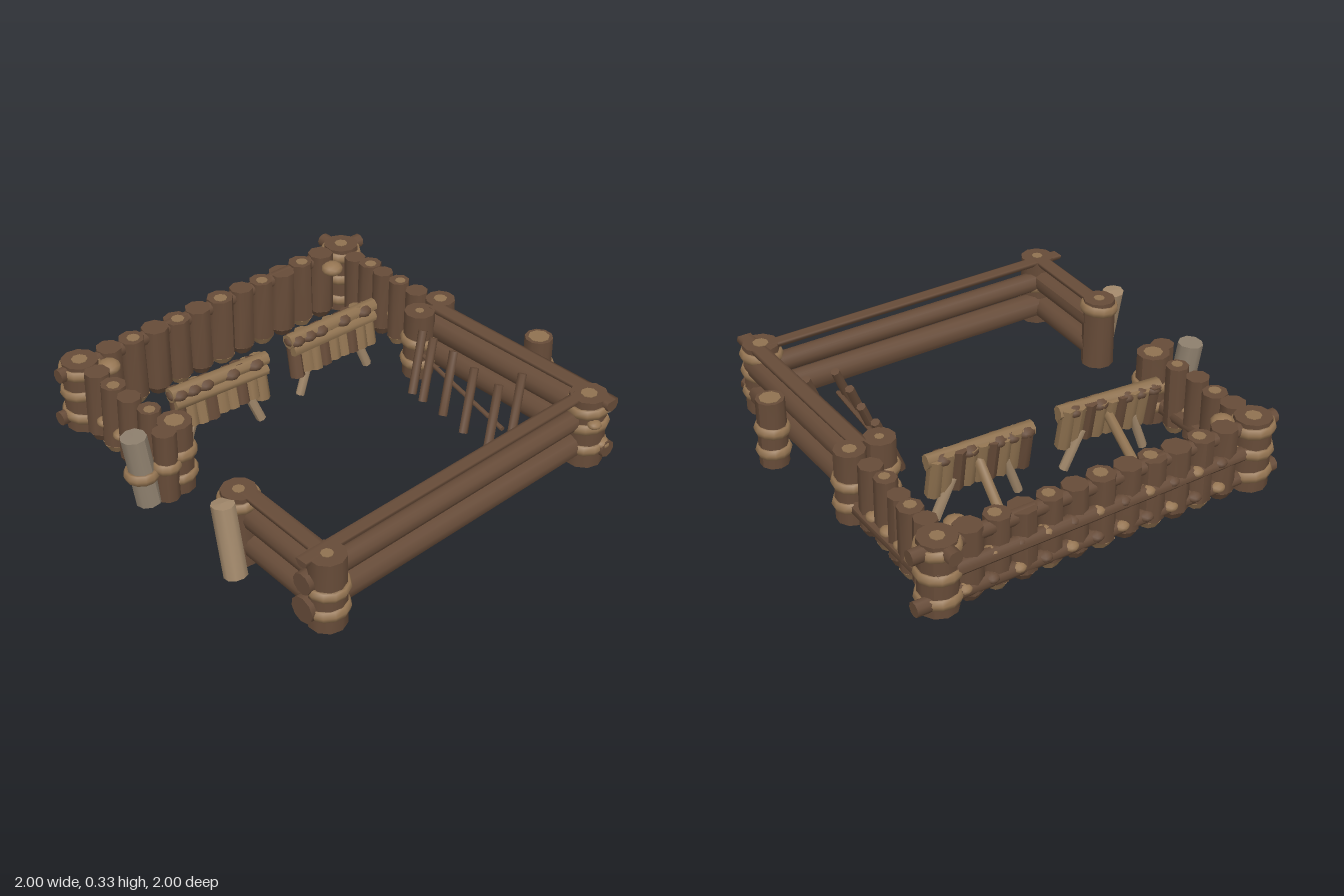
import * as THREE from 'three';

const TOP = 0.34; // every timber is sawn off level at this height

export function createModel() {
  const root = new THREE.Group();
  const mat = (name, color) => {
    const m = new THREE.MeshStandardMaterial({ color });
    m.name = name;
    return m;
  };
  const bark = mat('bark', 0x664b38);
  const rope = mat('rope', 0x957552);
  const cutWood = mat('cut wood', 0x8f7250);
  const paleWood = mat('pale wood', 0xa0876a);
  const greyWood = mat('weathered wood', 0x8d7f6d);

  let seed = 7;
  const rand = () => (seed = (seed * 16807) % 2147483647) / 2147483647;
  const V = (x, y, z) => new THREE.Vector3(x, y, z);
  const UP = V(0, 1, 0);

  const add = (parent, name, geo, material) => {
    const mesh = new THREE.Mesh(geo, material);
    mesh.name = name;
    parent.add(mesh);
  };
  const group = (name) => {
    const g = new THREE.Group();
    g.name = name;
    root.add(g);
    return g;
  };

  // Log between two points, flattened where it passes the level top
  function log(parent, name, a, b, r, material = bark, r2 = r, sides = 9) {
    const dir = b.clone().sub(a);
    const geo = new THREE.CylinderGeometry(r2, r, dir.length(), sides);
    geo.rotateY(rand() * 3);
    geo.applyQuaternion(new THREE.Quaternion().setFromUnitVectors(UP, dir.clone().normalize()));
    const mid = a.clone().add(b).multiplyScalar(0.5);
    geo.translate(mid.x, mid.y, mid.z);
    const p = geo.attributes.position;
    for (let i = 0; i < p.count; i++) p.setY(i, Math.min(TOP, Math.max(0.01, p.getY(i))));
    geo.computeVertexNormals();
    add(parent, name, geo, material);
  }

  // Broad, slightly tilted rope binding round an upright
  function ring(parent, x, y, z, r) {
    const geo = new THREE.TorusGeometry(r - 0.002, 0.016, 6, 12);
    geo.scale(1, 1, 1.6);
    geo.rotateX(Math.PI / 2 + (rand() - 0.5) * 0.2);
    geo.rotateZ((rand() - 0.5) * 0.2);
    geo.translate(x, y, z);
    add(parent, 'ropeRing', geo, rope);
  }

  function knot(parent, x, y, z, s, material = rope) {
    const geo = new THREE.IcosahedronGeometry(s, 1);
    geo.scale(1, 0.65, 1);
    geo.translate(x, y, z);
    add(parent, 'ropeKnot', geo, material);
  }

  // Thin sawn patch on top of an upright
  function cutEnd(parent, x, y, z, r) {
    const geo = new THREE.CylinderGeometry(r, r, 0.005, 8);
    geo.translate(x, y, z);
    add(parent, 'cutEnd', geo, cutWood);
  }

  function post(name, x, z, r, rings, patch = 0.03, y0 = 0.02) {
    const g = group(name);
    log(g, 'postLog', V(x, y0, z), V(x, TOP, z), r, bark, r * 0.97, 10);
    rings.forEach((y) => ring(g, x, y, z, r));
    cutEnd(g, x, TOP, z, patch);
    return g;
  }

  // Corner and gate posts
  post('backRightCorner', -0.58, -0.9, 0.082, [0.09, 0.2, 0.3], 0.035);
  post('backLeftCorner', 0.87, -0.66, 0.082, [0.08, 0.19, 0.3]);
  const corner = post('frontLeftCorner', 0.54, 0.89, 0.082, [0.11, 0.21, 0.29], 0.035);
  knot(corner, 0.55, 0.12, 0.965, 0.035);
  knot(corner, 0.49, 0.24, 0.955, 0.03);
  knot(corner, 0.58, 0.27, 0.955, 0.025, greyWood);
  post('frontRightCorner', -0.9, 0.69, 0.078, [0.1, 0.2], 0.025);
  post('sidePost', 0.62, -0.02, 0.07, [0.1, 0.2], 0.02);
  post('palisadeEndPost', 0.76, -0.01, 0.068, [0.1, 0.2], 0.03);
  post('gateFrontPost', -0.82, 0.2, 0.074, [0.3], 0.025, 0.015);
  post('gateBackPost', -0.65, -0.29, 0.074, [0.1, 0.2], 0.042);
  post('loosePost', 0.77, 0.5, 0.063, [0.1, 0.2], 0.046, 0.03);

  // Weathered gate stakes
  const stakes = group('gateStakes');
  log(stakes, 'greyStake', V(-0.8, 0.02, -0.31), V(-0.83, TOP, -0.34), 0.055, greyWood);
  ring(stakes, -0.815, 0.16, -0.325, 0.06);
  log(stakes, 'paleStake', V(-0.94, 0.04, 0.28), V(-0.92, TOP, 0.21), 0.048, paleWood);
  log(stakes, 'shortStake', V(-0.73, 0.02, -0.27), V(-0.73, TOP, -0.27), 0.05);
  ring(stakes, -0.73, 0.18, -0.27, 0.05);

  // Palisade of pointed uprights
  function palisade(name, points, r) {
    const g = group(name);
    points.forEach(([x, z], i) => {
      const rr = r * (0.92 + rand() * 0.16);
      const top = TOP - rand() * 0.01;
      log(g, 'stake', V(x, 0.05, z), V(x + (rand() - 0.5) * 0.015, top, z), rr, bark, rr * 0.95, 8);
      log(g, 'stakePoint', V(x, 0.012, z), V(x, 0.05, z), rr * 0.6, i % 2 ? rope : bark, rr, 8);
      if (i % 2) cutEnd(g, x, top, z + 0.008, rr * 0.48);
    });
    return g;
  }

  const backPoints = [];
  for (let i = 0; i < 11; i++) {
    const t = (i + 0.75) / 11.6;
    backPoints.push([-0.52 + 1.36 * t, -0.89 + 0.225 * t]);
  }
  const back = palisade('backPalisade', backPoints, 0.06);
  log(back, 'backRail', V(-0.69, 0.08, -0.935), V(1, 0.08, -0.675), 0.032);
  log(back, 'backRail', V(-0.62, 0.2, -0.935), V(0.92, 0.2, -0.698), 0.032);
  log(back, 'backRail', V(-0.69, 0.302, -0.917), V(1, 0.302, -0.656), 0.032);
  [0.09, 0.21].forEach((y, i) => backPoints.forEach(([x, z], k) =>
    knot(back, x + 0.05, y, z - 0.03, 0.034, (k + i) % 2 ? bark : rope)));
  knot(back, -0.5, 0.3, -0.81, 0.05);
  knot(back, 0.73, 0.29, -0.6, 0.05);

  const left = palisade('leftPalisade',
    [[0.83, -0.54], [0.815, -0.45], [0.8, -0.36], [0.775, -0.25], [0.76, -0.14]], 0.052);
  const right = palisade('rightPalisade',
    [[-0.6, -0.78], [-0.62, -0.67], [-0.645, -0.55], [-0.655, -0.43]], 0.054);
  log(left, 'sideRail', V(0.88, 0.1, -0.72), V(0.765, 0.1, 0), 0.034);
  log(right, 'sideRail', V(-0.58, 0.1, -0.88), V(-0.66, 0.1, -0.3), 0.034);
  log(left, 'railEnd', V(0.885, 0.31, -0.78), V(0.86, 0.31, -0.6), 0.032);
  [[0.845, -0.49], [0.825, -0.4], [0.81, -0.3], [0.79, -0.19]].forEach(([x, z]) => knot(left, x, 0.13, z, 0.036));
  [[-0.63, -0.72], [-0.655, -0.6], [-0.675, -0.48]].forEach(([x, z]) => knot(right, x, 0.13, z, 0.036));

  // Rail fences: two thick logs with a levelled top rail
  function fence(name, ax, az, bx, bz, rails, topR) {
    const g = group(name);
    rails.forEach(([y, r]) => log(g, 'rail', V(ax, y, az), V(bx, y, bz), r, bark, r, 10));
    log(g, 'topRail', V(ax, TOP, az), V(bx, TOP, bz), topR);
    return g;
  }
  fence('frontFence', -0.99, 0.645, 0.52, 0.867, [[0.107, 0.057], [0.23, 0.046]], 0.03);
  const side = fence('leftFence', 0.7, 0.0, 0.568, 0.9, [[0.115, 0.058], [0.24, 0.056]], 0.036);
  log(side, 'railEnd', V(0.57, 0.1, 0.87), V(0.552, 0.1, 0.995), 0.038);
  log(side, 'railEnd', V(0.57, 0.325, 0.87), V(0.552, 0.325, 0.995), 0.036);
  log(side, 'railSplinter', V(0.645, 0.2, 0.68), V(0.632, 0.17, 0.76), 0.024, cutWood, 0.018, 7);
  fence('rightFence', -0.8, 0.2, -0.9, 0.7, [[0.1, 0.052], [0.235, 0.052]], 0.036);

  // Leaning rack of sticks beside the left fence
  const rack = group('stickRack');
  log(rack, 'rackPole', V(0.53, 0.2, 0.04), V(0.35, 0.14, 0.61), 0.011, bark, 0.011, 6);
  [[0.49, 0.07], [0.47, 0.14], [0.44, 0.27], [0.39, 0.41], [0.35, 0.56], [0.48, 0.59]].forEach(([x, z]) =>
    log(rack, 'stick', V(x - 0.06, 0.05, z + 0.02), V(x + 0.06, 0.3, z - 0.02), 0.02, bark, 0.02, 7));

  // Propped, tilted screens of short logs on splayed legs
  function screen(ax, az, bx, bz, propX, propZ) {
    const g = group('logScreen');
    const at = (t, y, off = 0) => V(ax + (bx - ax) * t + off * 0.25, y, az + (bz - az) * t - off);
    const n = 9;
    for (let i = 0; i < n; i++) {
      const t = (i + 0.5) / n;
      log(g, 'screenLog', at(t, 0.13 + rand() * 0.03, -0.022), at(t, 0.315 + rand() * 0.02, 0.015),
        0.034, i % 3 ? cutWood : bark, 0.032, 7);
    }
    log(g, 'screenBar', at(0, 0.27, -0.02), at(1, 0.27, -0.02), 0.026, cutWood, 0.026, 7);
    log(g, 'screenTop', at(-0.02, 0.31), at(1.03, 0.31), 0.034, cutWood, 0.03, 8);
    [0.06, 0.2, 0.34, 0.62, 0.88].forEach((t) => {
      const p = at(t, 0.307);
      knot(g, p.x, p.y, p.z, 0.047, bark);
    });
    log(g, 'leg', at(0.25, 0.2), at(0.1, 0.02, -0.01), 0.02, paleWood, 0.02, 7);
    log(g, 'leg', at(0.78, 0.2), at(0.94, 0.02, -0.01), 0.022, paleWood, 0.022, 7);
    log(g, 'prop', at(0.53, 0.26), V(propX, 0.04, propZ), 0.022, cutWood, 0.022, 7);
  }
  screen(-0.5, -0.45, -0.06, -0.335, -0.22, -0.69);
  screen(0.11, -0.335, 0.56, -0.245, 0.43, -0.59);

  return root;
}
